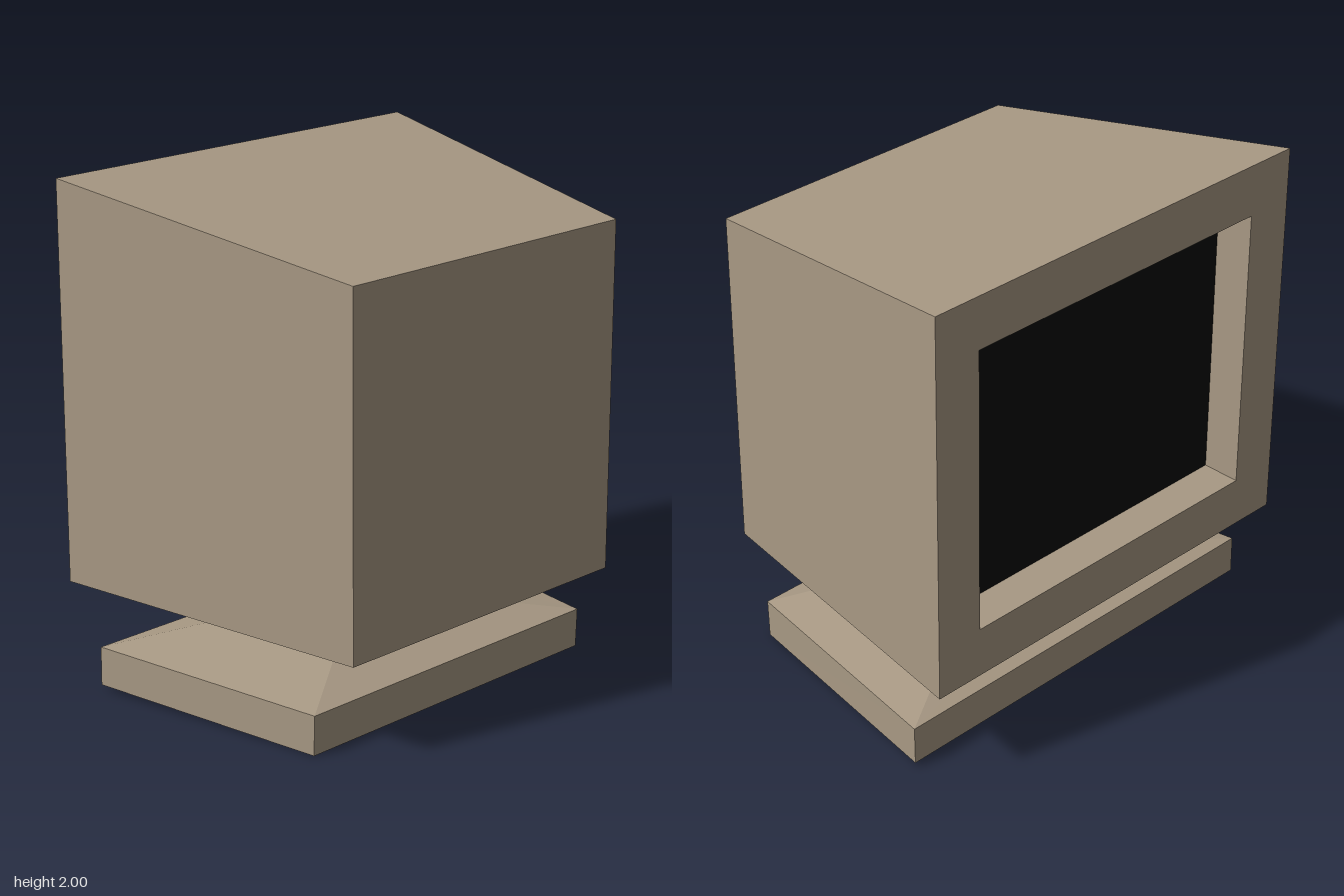
import * as THREE from 'three';

const casing = new THREE.MeshStandardMaterial({ color: 0xa89984, flatShading: true });
const glass = new THREE.MeshStandardMaterial({ color: 0x080808 });

// Flat-sided skin through a series of four-cornered rings, with optional end caps.
// Rings run counter-clockwise as seen from the last ring's end.
function loft(name, rings, material, capStart, capEnd) {
  const pos = [];
  const quad = (a, b, c, d) => [a, b, c, a, c, d].forEach((p) => pos.push(...p));
  for (let i = 0; i < rings.length - 1; i++) {
    for (let j = 0; j < 4; j++) {
      const k = (j + 1) % 4;
      quad(rings[i][j], rings[i][k], rings[i + 1][k], rings[i + 1][j]);
    }
  }
  if (capStart) quad(...[...rings[0]].reverse());
  if (capEnd) quad(...rings[rings.length - 1]);
  const geometry = new THREE.BufferGeometry();
  geometry.setAttribute('position', new THREE.Float32BufferAttribute(pos, 3));
  geometry.computeVertexNormals();
  const mesh = new THREE.Mesh(geometry, material);
  mesh.name = name;
  return mesh;
}

// Upright rectangle at x, seen from -x
const upright = (x, y0, y1, z) => [[x, y0, -z], [x, y0, z], [x, y1, z], [x, y1, -z]];

// Lying trapezoid, slightly tilted: wide at x0 (height y0), narrow at x1 (height y1)
const lying = (x0, y0, z0, x1, y1, z1) => [[x0, y0, z0], [x1, y1, z1], [x1, y1, -z1], [x0, y0, -z0]];

export function createModel() {
  const group = new THREE.Group();
  group.name = 'monitor';

  // Tapered housing, from the small rear panel to the bezel and into the screen recess
  const opening = [0.62, 1.79, 0.705];
  group.add(loft('housing', [
    upright(0.67, 0.39, 1.797, 0.707),
    upright(-0.67, 0.413, 2, 0.908),
    upright(-0.67, ...opening),
    upright(-0.51, ...opening),
  ], casing, true, false));

  // Dark screen at the bottom of the recess
  const screen = new THREE.Mesh(new THREE.PlaneGeometry(1.41, 1.17), glass);
  screen.name = 'screen';
  screen.rotation.y = -Math.PI / 2;
  screen.position.set(-0.51, 1.205, 0);
  group.add(screen);

  // Stand: foot slab, sloped shoulder and neck
  group.add(loft('stand', [
    lying(-0.517, 0.022, 0.893, 0.5, 0, 0.74),
    lying(-0.515, 0.18, 0.893, 0.505, 0.16, 0.74),
    lying(-0.226, 0.258, 0.387, 0.215, 0.25, 0.32),
    lying(-0.223, 0.407, 0.387, 0.218, 0.4, 0.32),
  ], casing, true, true));

  return group;
}
